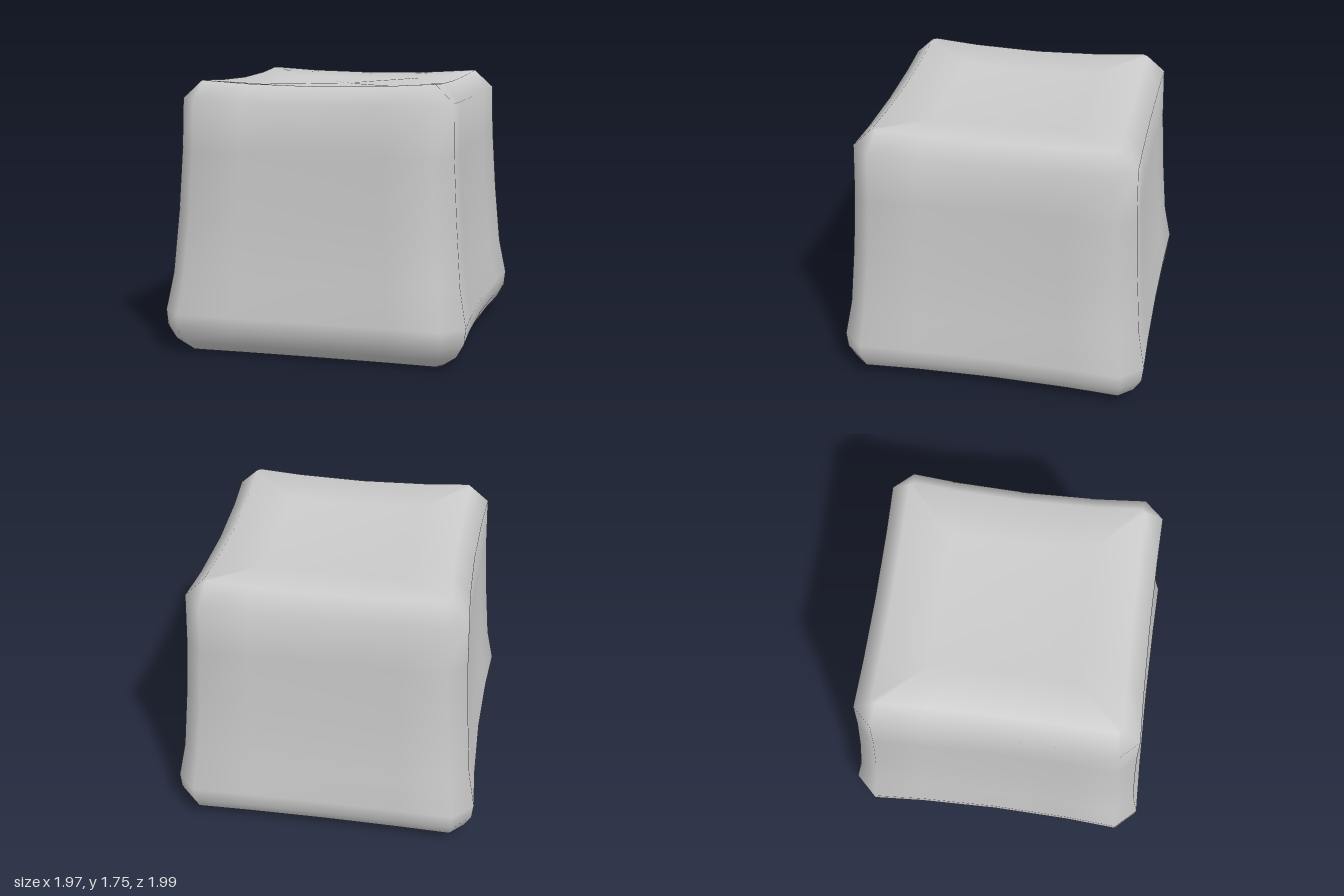
import * as THREE from 'three';

const STEPS = [-1, -0.6, 0, 0.6, 1];

// One squarish ring with cut corners: half width, corner start, height,
// inward bow of the sides and sag of the height at mid-side.
function ring({ h, c, y, bow, sag }) {
  const hz = h + 0.012, cz = c + 0.005;
  const out = [];
  const add = (x, t, z) => out.push(x, y - sag * (1 - t * t), z);
  const bx = (t) => h - bow * (1 - t * t);
  const bz = (t) => hz - bow * 0.4 * (1 - t * t);
  STEPS.forEach((t) => add(bx(t), t, cz * t));
  STEPS.forEach((t) => add(-c * t, t, bz(t)));
  STEPS.forEach((t) => add(-bx(t), t, -cz * t));
  STEPS.forEach((t) => add(c * t, t, -bz(t)));
  return out;
}

function cushionGeometry() {
  // h, c, y, bow, sag from the underside to the sunken top
  const rows = [
    [0.50, 0.49, 0.00, 0.01, 0],
    [0.83, 0.80, 0.00, 0.03, 0],
    [0.925, 0.84, 0.07, 0.033, 0],
    [0.975, 0.855, 0.16, 0.035, 0],
    [0.985, 0.855, 0.26, 0.035, 0],
    [0.94, 0.825, 0.50, 0.034, 0],
    [0.908, 0.79, 0.90, 0.033, 0],
    [0.885, 0.77, 1.30, 0.032, 0],
    [0.876, 0.76, 1.63, 0.03, 0.02],
    [0.755, 0.735, 1.745, 0.025, 0.028],
    [0.45, 0.44, 1.705, 0.01, 0.01],
  ];
  const n = STEPS.length * 4;
  const pos = [0, 0, 0];
  for (const [h, c, y, bow, sag] of rows) pos.push(...ring({ h, c, y, bow, sag }));
  pos.push(0, 1.69, 0);

  const idx = [];
  const top = rows.length * n + 1;
  const at = (r, i) => 1 + r * n + (i % n);
  for (let i = 0; i < n; i++) {
    idx.push(0, at(0, i), at(0, i + 1));
    for (let r = 0; r < rows.length - 1; r++) {
      const a = at(r, i), b = at(r, i + 1), c = at(r + 1, i), d = at(r + 1, i + 1);
      idx.push(a, c, b, b, c, d);
    }
    idx.push(at(rows.length - 1, i), top, at(rows.length - 1, i + 1));
  }
  const geo = new THREE.BufferGeometry();
  geo.setAttribute('position', new THREE.Float32BufferAttribute(pos, 3));
  geo.setIndex(idx);
  geo.computeVertexNormals();
  return geo;
}

export function createModel() {
  const group = new THREE.Group();
  // Soft tapered block with bowed sides and a shallow seat
  const body = new THREE.Mesh(
    cushionGeometry(),
    new THREE.MeshStandardMaterial({ color: 0xcccccc })
  );
  body.name = 'cushionBlock';
  group.add(body);
  return group;
}
